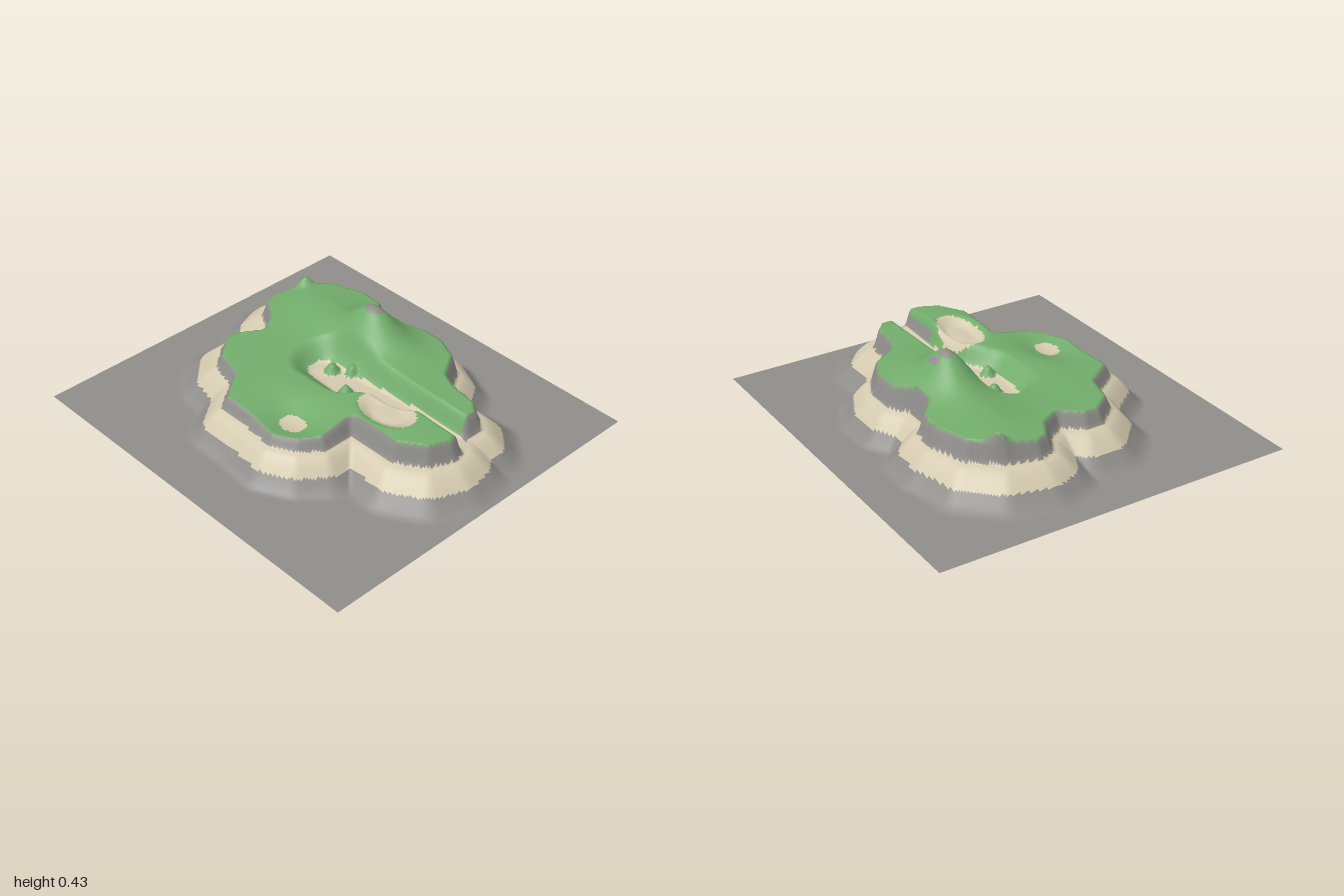
import * as THREE from 'three';

const HALF_X = 1, HALF_Z = 0.918, NX = 200, NZ = 184;
const SHORE = 0.15, CLIFF_WIDTH = 0.03;

// Foot of the cliff, seen from above, as x, z pairs
const OUTLINE = [
  [-0.34, -0.57], [-0.21, -0.56], [-0.14, -0.49], [-0.03, -0.49], [0.08, -0.55], [0.22, -0.55],
  [0.35, -0.49], [0.43, -0.36], [0.50, -0.33], [0.65, -0.31], [0.72, -0.25], [0.72, -0.15],
  [0.77, -0.10], [0.79, 0.0], [0.74, 0.12], [0.60, 0.21], [0.34, 0.21], [0.34, 0.37],
  [0.26, 0.47], [0.14, 0.53], [-0.06, 0.51], [-0.22, 0.51], [-0.33, 0.36], [-0.48, 0.32], [-0.58, 0.20],
  [-0.58, 0.11], [-0.51, 0.01], [-0.56, -0.07], [-0.66, -0.13], [-0.69, -0.21], [-0.65, -0.37], [-0.53, -0.51],
];

// Dry river bed: x, z, half width of the floor, width of the banks
const RIVER = [
  [-0.10, -0.03, 0.05, 0.12], [0.08, -0.03, 0.065, 0.10], [0.24, -0.08, 0.035, 0.07],
  [0.50, -0.105, 0.024, 0.055], [0.85, -0.11, 0.024, 0.05],
];

// Round hills: x, z, height, spread in x, spread in z
const HILLS = [
  [-0.04, -0.30, 0.12, 0.10, 0.075], [-0.04, -0.30, 0.075, 0.22, 0.12],
  [-0.46, -0.30, 0.02, 0.10, 0.12], [-0.61, -0.39, 0.06, 0.025, 0.03],
  [0.45, 0.04, 0.035, 0.22, 0.13], [-0.02, 0.22, 0.012, 0.15, 0.08],
  [0.12, 0.36, -0.045, 0.11, 0.09],
];

// Small knolls in the river bed: x, z, radius
const KNOLLS = [[-0.07, -0.06, 0.045], [0.015, -0.105, 0.035], [0.10, 0.012, 0.042]];

const smooth = THREE.MathUtils.smoothstep;
const lerp = THREE.MathUtils.lerp;
const ellipse = (x, z, cx, cz, rx, rz) => Math.hypot((x - cx) / rx, (z - cz) / rz);

// Distance to a segment, with the position along it
function toSegment(x, z, a, b) {
  const dx = b[0] - a[0], dz = b[1] - a[1];
  const t = THREE.MathUtils.clamp(((x - a[0]) * dx + (z - a[1]) * dz) / (dx * dx + dz * dz), 0, 1);
  return { t, d: Math.hypot(x - a[0] - t * dx, z - a[1] - t * dz) };
}

// Signed distance to the cliff foot, positive outside
function cliffDistance(x, z) {
  let best = Infinity, inside = false;
  OUTLINE.forEach((a, i) => {
    const b = OUTLINE[(i + 1) % OUTLINE.length];
    best = Math.min(best, toSegment(x, z, a, b).d);
    if ((a[1] > z) !== (b[1] > z) && x < a[0] + (z - a[1]) / (b[1] - a[1]) * (b[0] - a[0])) inside = !inside;
  });
  return inside ? -best : best;
}

// 0 on the river floor, 1 beyond its banks
function riverRise(x, z) {
  let rise = 1;
  for (let i = 0; i < RIVER.length - 1; i++) {
    const a = RIVER[i], b = RIVER[i + 1], { t, d } = toSegment(x, z, a, b);
    rise = Math.min(rise, (d - lerp(a[2], b[2], t)) / lerp(a[3], b[3], t));
  }
  return Math.max(rise, 0);
}

const knollAt = (x, z) => Math.max(0, ...KNOLLS.map(([cx, cz, r]) => 1 - Math.hypot(x - cx, z - cz) / r));

function heightAt(x, z) {
  const d = cliffDistance(x, z);
  if (d >= 0) {
    const width = 0.165 + 0.05 * smooth(Math.abs(x), 0.4, 0.75);
    return SHORE * (1 - smooth(d, 0, width));
  }
  let y = 0.23 + 0.015 * smooth(x, 0, 0.6) - 0.03 * z;
  for (const [cx, cz, h, sx, sz] of HILLS) y += h * Math.exp(-0.5 * ellipse(x, z, cx, cz, sx, sz) ** 2);
  // Shallow sandy bowl on the eastern hill
  y -= 0.045 * (1 - smooth(ellipse(x, z, 0.41, 0.05, 0.17, 0.11), 0.45, 1.1));
  y = lerp(0.157, y, smooth(riverRise(x, z), 0, 1));
  y += 0.045 * smooth(knollAt(x, z), 0, 0.8);
  return lerp(SHORE, y, Math.min(-d / CLIFF_WIDTH, 1));
}

// Which ground covers a spot
function groundAt(x, z, y) {
  const d = cliffDistance(x, z);
  if (d > 0) return y < 0.07 ? 'seabed' : 'beach';
  if (knollAt(x, z) > 0.1) return 'grass';
  const rise = riverRise(x, z);
  if (rise < 0.2) return 'riverSand';
  if (d > -CLIFF_WIDTH) return 'cliff';
  if (ellipse(x, z, 0.41, 0.05, 0.165, 0.095) < 1 || ellipse(x, z, 0.125, 0.37, 0.07, 0.055) < 1) return 'sandPit';
  if (x > 0.52 && z > -0.1 && rise > 0.3 && rise < 0.6) return 'cliff';
  if (y > 0.418) return 'peakRock';
  if (ellipse(x, z, -0.02, -0.36, 0.04, 0.012) < 1) return 'heather';
  return 'grass';
}

export function createModel() {
  const material = (name, color) => {
    const m = new THREE.MeshStandardMaterial({ color, side: THREE.DoubleSide });
    m.name = name;
    return m;
  };
  const rock = material('rock grey', 0x8f8d8a);
  const sand = material('sand', 0xd3c9ae);
  const green = material('grass green', 0x72ac6b);
  const mauve = material('mauve', 0x97869a);
  const covers = {
    seabed: rock, cliff: rock, peakRock: rock, beach: sand, riverSand: sand, sandPit: sand, grass: green, heather: mauve,
  };

  // Height grid, with triangles sorted by the ground that covers them
  const points = [], indices = {}, all = [];
  for (let j = 0; j <= NZ; j++) for (let i = 0; i <= NX; i++) {
    const x = lerp(-HALF_X, HALF_X, i / NX), z = lerp(-HALF_Z, HALF_Z, j / NZ);
    points.push(x, heightAt(x, z), z);
  }
  for (let j = 0; j < NZ; j++) for (let i = 0; i < NX; i++) {
    const a = j * (NX + 1) + i, b = a + 1, c = a + NX + 1, e = c + 1;
    const y = (points[a * 3 + 1] + points[b * 3 + 1] + points[c * 3 + 1] + points[e * 3 + 1]) / 4;
    const x = (points[a * 3] + points[b * 3]) / 2, z = (points[a * 3 + 2] + points[c * 3 + 2]) / 2;
    const cell = [a, c, b, b, c, e];
    (indices[groundAt(x, z, y)] ??= []).push(...cell);
    all.push(...cell);
  }
  const terrain = new THREE.BufferGeometry();
  terrain.setAttribute('position', new THREE.Float32BufferAttribute(points, 3));
  terrain.setIndex(all);
  terrain.computeVertexNormals();

  // One mesh per ground, all sharing the grid so that shading stays seamless
  const island = new THREE.Group();
  island.name = 'island';
  for (const [name, index] of Object.entries(indices)) {
    const geometry = new THREE.BufferGeometry();
    geometry.setAttribute('position', terrain.attributes.position);
    geometry.setAttribute('normal', terrain.attributes.normal);
    geometry.setIndex(index);
    const mesh = new THREE.Mesh(geometry, covers[name]);
    mesh.name = name;
    island.add(mesh);
  }
  return island;
}
